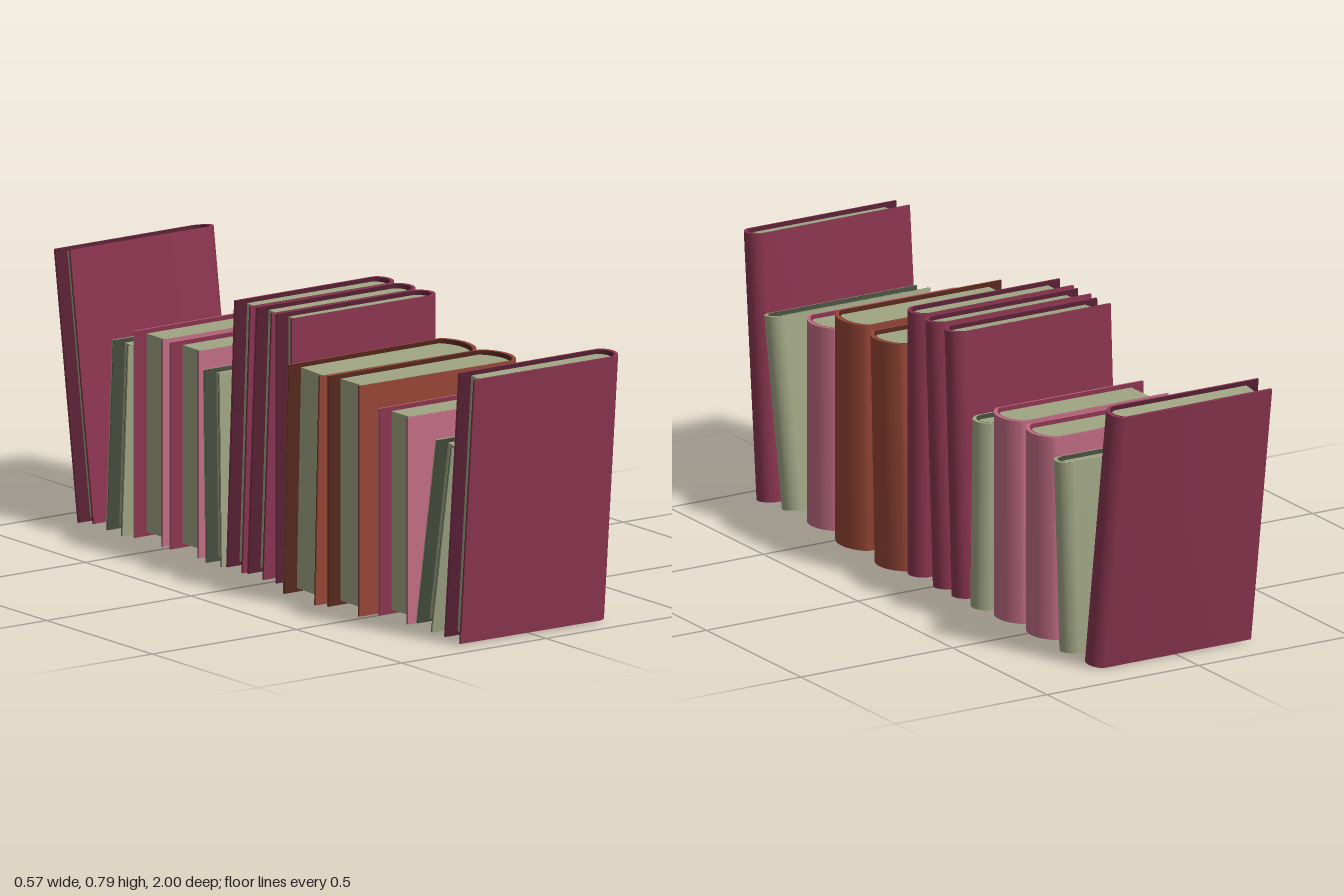
import * as THREE from 'three';
import { toCreasedNormals } from 'three/addons/utils/BufferGeometryUtils.js';

const material = (name, color) => {
  const m = new THREE.MeshStandardMaterial({ color });
  m.name = name;
  return m;
};

// Points of a book outline: fore edge, flared board, arched spine, board, fore edge.
function outline(xFore, xSpine, halfFore, halfSpine, depth, steps = 14) {
  const radius = (halfSpine ** 2 + depth ** 2) / (2 * depth);
  const sweep = Math.asin(halfSpine / radius);
  const pts = [new THREE.Vector2(xFore, -halfFore)];
  for (let i = 0; i <= steps; i++) {
    const a = sweep * ((2 * i) / steps - 1);
    pts.push(new THREE.Vector2(xSpine - radius + radius * Math.cos(a), radius * Math.sin(a)));
  }
  pts.push(new THREE.Vector2(xFore, halfFore));
  return pts;
}

// Mesh made by extruding an outline upward from y0.
function upright(name, points, height, y0, mat) {
  const geo = new THREE.ExtrudeGeometry(new THREE.Shape(points), { depth: height, bevelEnabled: false });
  geo.rotateX(-Math.PI / 2);
  geo.translate(0, y0, 0);
  const mesh = new THREE.Mesh(toCreasedNormals(geo, 0.95), mat);
  mesh.name = name;
  return mesh;
}

function makeBook({ cover, lining, height, thick, fore, spine, pageFore }, pageMaterial) {
  const book = new THREE.Group();
  const half = thick / 2, inset = 0.012;
  const depth = thick > 0.1 ? 0.036 : 0.032;

  // Outline moved inward by a board thickness and a spine thickness
  const layer = (xFore, board, back) =>
    outline(xFore, spine - back, half * 0.94 - board, half - board, depth - back / 3);
  const band = (a, b) => [...a, ...b.reverse()];

  book.add(
    // Wrap-around cover, its dark inner lining, and the page block set back between them
    upright('cover', band(layer(fore, 0, 0), layer(fore, 0.005, 0.011)), height, 0, cover),
    upright('coverLining', band(layer(fore, 0.005, 0.011), layer(fore, 0.007, 0.014)), height, 0, lining),
    upright('pages', layer(pageFore, 0.008, 0.017), height - 2 * inset, inset, pageMaterial),
  );
  return book;
}

export function createModel() {
  const burgundy = material('burgundy', 0x8a3550);
  const rose = material('rose', 0xc26c84);
  const rust = material('rust', 0x964636);
  const sage = material('sage', 0xa0a584);
  const darkBurgundy = material('darkBurgundy', 0x582135);
  const darkRust = material('darkRust', 0x56291d);
  const darkSage = material('darkSage', 0x454e3e);

  const small = { fore: -0.245, spine: 0.271, pageFore: -0.205 };
  const kinds = {
    tallBook: { cover: burgundy, lining: darkBurgundy, height: 0.775, thick: 0.084, ...small },
    shortBook: { cover: sage, lining: darkSage, height: 0.553, thick: 0.084, ...small },
    mediumBook: { cover: rose, lining: burgundy, height: 0.595, thick: 0.15, ...small },
    wideBook: {
      cover: rust, lining: darkRust, height: 0.663, thick: 0.165, fore: -0.287, spine: 0.286, pageFore: -0.245,
    },
  };

  // Kind, z of the foot, lean toward +z, lowest y
  const row = [
    ['tallBook', 0.891, 0.087, 0.005],
    ['shortBook', 0.757, 0.17, 0.012],
    ['mediumBook', 0.61, 0, 0.013],
    ['wideBook', 0.431, 0, 0.008],
    ['wideBook', 0.223, 0.032, 0],
    ['tallBook', 0.092, 0, 0.011],
    ['tallBook', -0.042, 0.052, 0.009],
    ['tallBook', -0.141, 0.048, 0.009],
    ['shortBook', -0.24, -0.02, 0.006],
    ['mediumBook', -0.379, 0, 0.012],
    ['mediumBook', -0.55, 0, 0.012],
    ['shortBook', -0.711, 0.052, 0.005],
    ['tallBook', -0.846, -0.145, 0.003],
  ];

  const model = new THREE.Group();
  model.name = 'bookRow';
  for (const [kind, z, lean, lowest] of row) {
    const book = makeBook(kinds[kind], sage);
    book.name = kind;
    book.rotation.x = lean;
    book.position.set(0, lowest + (kinds[kind].thick / 2) * Math.sin(Math.abs(lean)), z);
    model.add(book);
  }
  return model;
}
